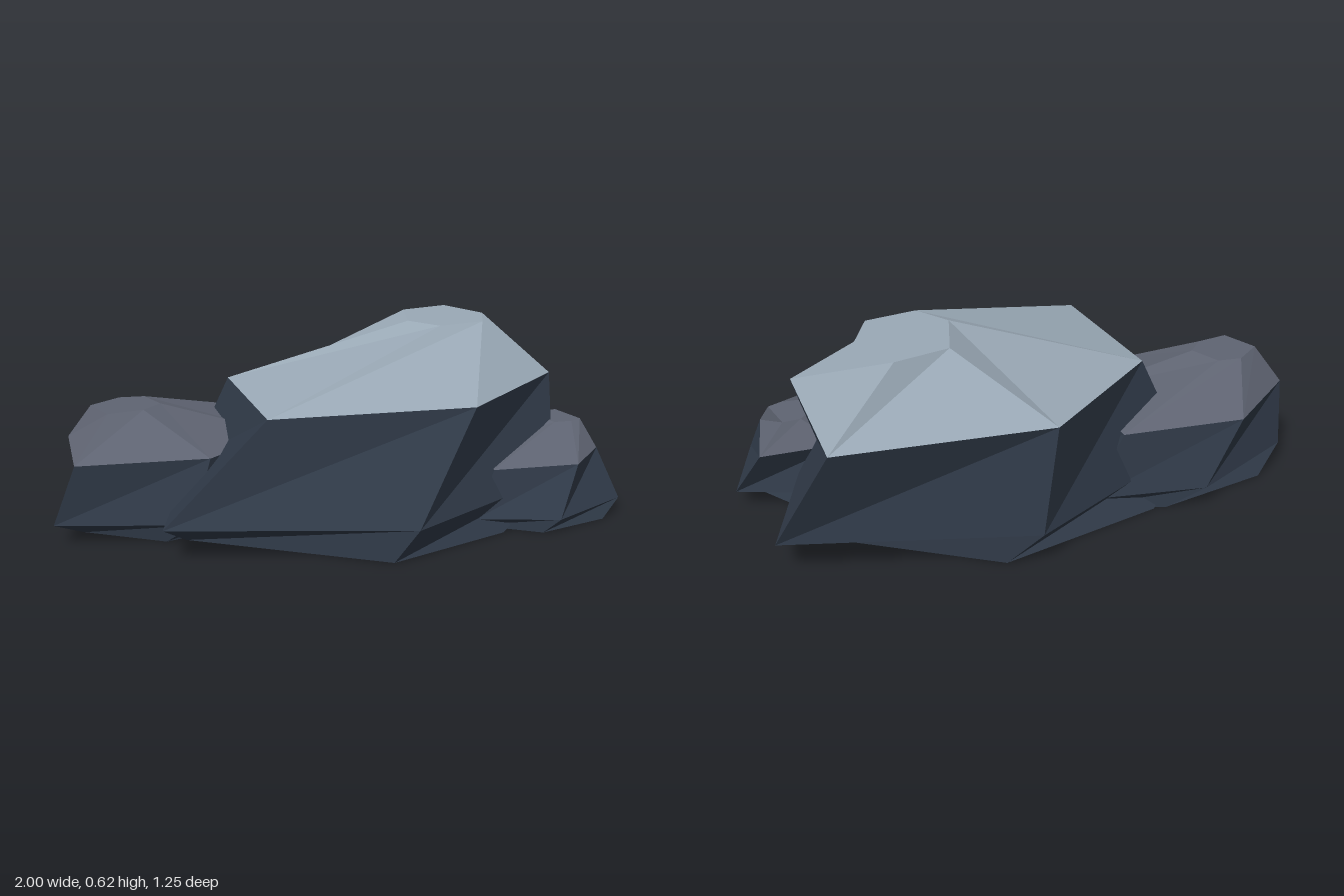
import * as THREE from 'three';

const side = new THREE.MeshStandardMaterial({ name: 'dark slate', color: 0x2f3947, flatShading: true });
const paleTop = new THREE.MeshStandardMaterial({ name: 'pale blue grey', color: 0x9aa9b6, flatShading: true });
const dullTop = new THREE.MeshStandardMaterial({ name: 'dull grey', color: 0x5f6472, flatShading: true });

// Joins stacked rings of [x, z] corners; ring order runs left, front, right, back.
// The twisted quads are split so that the widest ring stands out as a sharp ridge.
function facets(rings, heights, capBottom, capTop) {
  const pos = [];
  const point = (r, i) => {
    const [x, z] = rings[r][i % rings[r].length];
    pos.push(x, heights[r], z);
  };
  const tri = (...corners) => corners.forEach(([r, i]) => point(r, i));
  const n = rings[0].length;
  const last = rings.length - 1;
  for (let r = 0; r < last; r++) {
    for (let i = 0; i < n; i++) {
      tri([r, i], [r, i + 1], [r + 1, i + 1]);
      tri([r, i], [r + 1, i + 1], [r + 1, i]);
    }
  }
  for (let i = 1; i < n - 1; i++) {
    if (capBottom) tri([0, 0], [0, i + 1], [0, i]);
    if (capTop) tri([last, 0], [last, i], [last, i + 1]);
  }
  const geometry = new THREE.BufferGeometry();
  geometry.setAttribute('position', new THREE.Float32BufferAttribute(pos, 3));
  geometry.computeVertexNormals();
  return geometry;
}

// A rock: dark body up to the shoulder ring, lighter crown above it
function rock(name, heights, rings, topMaterial) {
  const group = new THREE.Group();
  group.name = name;
  const body = new THREE.Mesh(facets(rings.slice(0, 3), heights.slice(0, 3), true, false), side);
  body.name = name + 'Body';
  const crown = new THREE.Mesh(facets(rings.slice(2), heights.slice(2), false, true), topMaterial);
  crown.name = name + 'Crown';
  group.add(body, crown);
  return group;
}

export function createModel() {
  const model = new THREE.Group();
  model.name = 'rockCluster';

  // Rings from the ground up: base, widest, shoulder, top
  model.add(rock('mainRock', [0, 0.11, 0.43, 0.62], [
    [[-0.62, 0.02], [-0.15, 0.53], [0.3, 0.51], [0.87, 0], [0.4, -0.53], [-0.18, -0.545]],
    [[-0.76, 0.17], [-0.09, 0.58], [0.59, 0.42], [1, -0.2], [0.32, -0.61], [-0.4, -0.44]],
    [[-0.43, 0.24], [0.21, 0.46], [0.74, 0.21], [0.88, -0.35], [0.24, -0.57], [-0.29, -0.33]],
    [[0.34, 0.08], [0.52, 0.09], [0.63, -0.05], [0.61, -0.26], [0.42, -0.26], [0.3, -0.06]],
  ], paleTop));

  model.add(rock('rightRock', [0, 0.07, 0.265, 0.385], [
    [[-0.88, -0.22], [-0.68, 0], [-0.25, 0], [0, -0.4], [-0.22, -0.56], [-0.63, -0.585]],
    [[-1, -0.15], [-0.62, 0.08], [-0.2, 0], [0.03, -0.47], [-0.33, -0.63], [-0.77, -0.54]],
    [[-0.93, -0.12], [-0.53, 0.03], [-0.2, -0.12], [-0.1, -0.47], [-0.5, -0.61], [-0.84, -0.46]],
    [[-0.77, -0.24], [-0.65, -0.23], [-0.57, -0.28], [-0.58, -0.4], [-0.66, -0.43], [-0.78, -0.38]],
  ], dullTop));

  model.add(rock('leftRock', [0, 0.05, 0.2, 0.285], [
    [[0.25, 0.4], [0.41, 0.58], [0.67, 0.59], [0.85, 0.35], [0.78, 0.15], [0.45, 0.12]],
    [[0.21, 0.47], [0.45, 0.62], [0.77, 0.56], [0.94, 0.27], [0.74, 0.12], [0.4, 0.14]],
    [[0.3, 0.45], [0.58, 0.55], [0.77, 0.44], [0.88, 0.18], [0.62, 0.11], [0.4, 0.22]],
    [[0.66, 0.34], [0.72, 0.36], [0.77, 0.35], [0.78, 0.21], [0.72, 0.2], [0.66, 0.25]],
  ], dullTop));

  return model;
}
